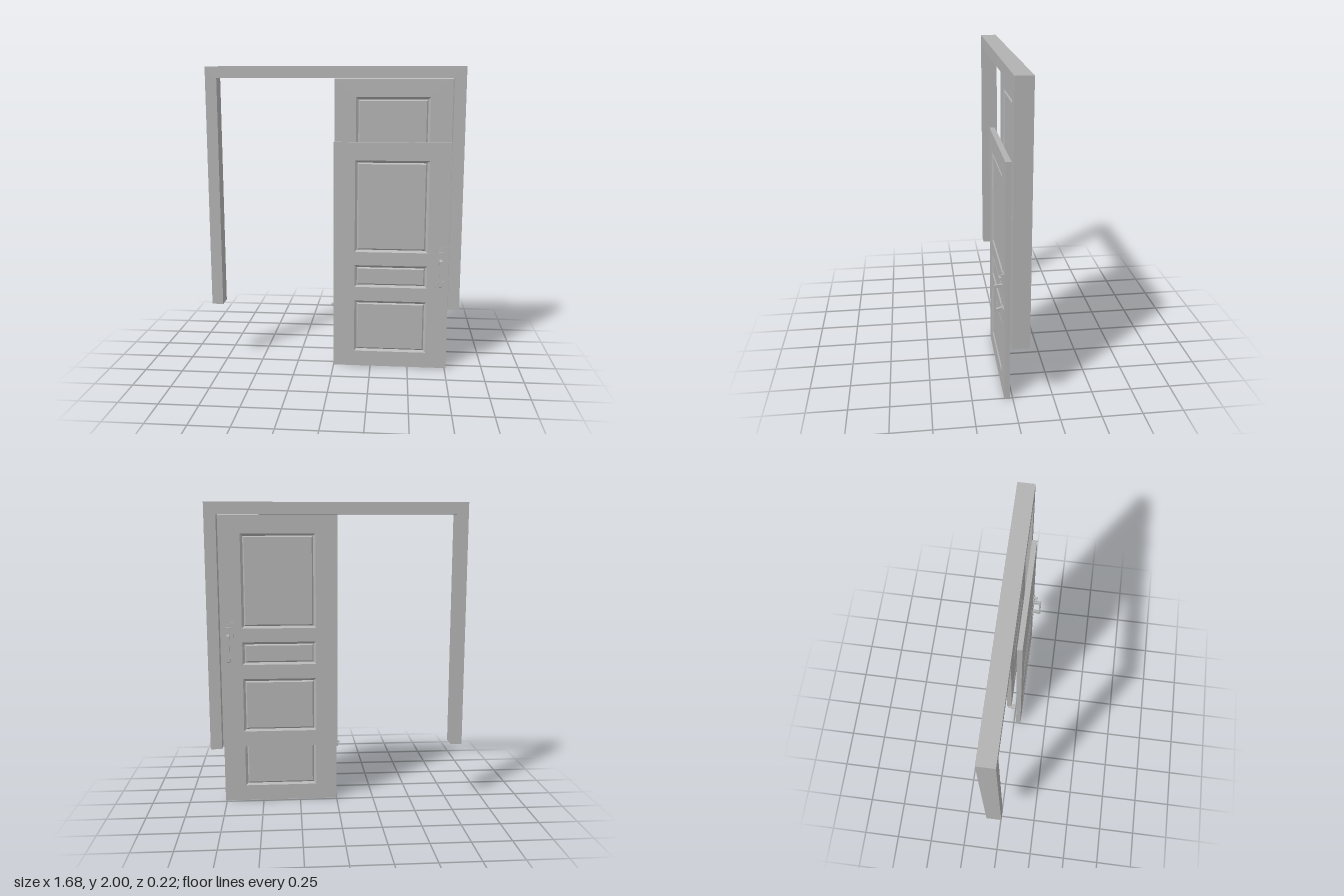
import * as THREE from 'three';

const paint = new THREE.MeshStandardMaterial({ color: 0xb2b2b2 });
paint.name = 'grey paint';

const DOOR_W = 0.76, DOOR_H = 1.52, HALF = 0.017;
// Panel openings in a door: left, bottom, right, top
const PANELS = [[0.14, 0.105, 0.62, 0.46], [0.14, 0.555, 0.62, 0.705], [0.14, 0.795, 0.62, 1.403]];

function mesh(name, geometry, parent, x = 0, y = 0, z = 0) {
  const m = new THREE.Mesh(geometry, paint);
  m.name = name;
  m.position.set(x, y, z);
  parent.add(m);
  return m;
}

function box(name, parent, w, h, d, x, y, z) {
  return mesh(name, new THREE.BoxGeometry(w, h, d), parent, x, y, z);
}

const polygon = (points) => points.map(([x, y]) => new THREE.Vector2(x, y));

// Raised panel with a bevelled groove round it, on both sides of the door
function panelGeometry([l, b, r, t]) {
  const pos = [], index = [];
  for (const side of [1, -1]) {
    const start = pos.length / 3;
    const face = (p, q, s) => index.push(...(side > 0 ? [p, q, s] : [p, s, q]));
    for (const [inset, z] of [[0, HALF], [0.015, HALF - 0.011], [0.024, HALF - 0.004]]) {
      for (const [x, y] of [[l + inset, b + inset], [r - inset, b + inset], [r - inset, t - inset], [l + inset, t - inset]]) {
        pos.push(x, y, z * side);
      }
    }
    for (let k = 0; k < 2; k++) {
      for (let i = 0; i < 4; i++) {
        const a = start + k * 4 + i, c = start + k * 4 + (i + 1) % 4;
        face(a, c, c + 4);
        face(a, c + 4, a + 4);
      }
    }
    face(start + 8, start + 9, start + 10);
    face(start + 8, start + 10, start + 11);
  }
  const g = new THREE.BufferGeometry();
  g.setAttribute('position', new THREE.Float32BufferAttribute(pos, 3));
  g.setIndex(index);
  const flat = g.toNonIndexed();
  flat.computeVertexNormals();
  return flat;
}

// Pull handle, standing out along +z from a door face at z = 0
function makeHandle() {
  const g = new THREE.Group();
  g.name = 'handle';
  box('upperPlate', g, 0.06, 0.125, 0.007, 0, 0.775, 0.0035);
  box('lowerPlate', g, 0.06, 0.06, 0.007, 0, 0.58, 0.0035);

  // Grip outline: distance from the door, height
  const outline = new THREE.Shape(polygon([
    [0.005, 0.715], [0.012, 0.735], [0.046, 0.742], [0.046, 0.602], [0.012, 0.61], [0.005, 0.61],
    [0.005, 0.588], [0.05, 0.578], [0.058, 0.583], [0.058, 0.753], [0.052, 0.759], [0.005, 0.759],
  ]));
  const grip = new THREE.ExtrudeGeometry(outline, { depth: 0.018, bevelEnabled: false });
  grip.translate(0, 0, -0.009);
  grip.rotateY(-Math.PI / 2);
  mesh('grip', grip, g);

  // Lock cylinder and thumb latch
  const lock = new THREE.CylinderGeometry(0.01, 0.01, 0.006, 16);
  lock.rotateX(Math.PI / 2);
  mesh('lock', lock, g, 0, 0.818, 0.01);
  box('latchStem', g, 0.012, 0.008, 0.02, 0, 0.802, 0.012);
  box('thumbLatch', g, 0.034, 0.008, 0.014, 0, 0.804, 0.024);
  return g;
}

function makeDoor(name, side) {
  const door = new THREE.Group();
  door.name = name;
  const outline = new THREE.Shape(polygon([[0, 0], [DOOR_W, 0], [DOOR_W, DOOR_H], [0, DOOR_H]]));
  for (const [l, b, r, t] of PANELS) {
    outline.holes.push(new THREE.Path(polygon([[l, b], [l, t], [r, t], [r, b]])));
  }
  const slab = new THREE.ExtrudeGeometry(outline, { depth: HALF * 2, bevelEnabled: false });
  mesh('doorSlab', slab, door, 0, 0, -HALF);
  PANELS.forEach((p) => mesh('doorPanel', panelGeometry(p), door));

  const handle = makeHandle();
  handle.position.set(0.706, 0, HALF * side);
  if (side < 0) handle.rotation.y = Math.PI;
  door.add(handle);
  return door;
}

export function createModel() {
  const model = new THREE.Group();
  model.name = 'doors';

  // Open-bottomed frame
  const frameShape = new THREE.Shape(polygon([
    [-0.84, 0.4], [-0.765, 0.4], [-0.765, 1.925], [0.765, 1.925],
    [0.765, 0.4], [0.84, 0.4], [0.84, 2], [-0.84, 2],
  ]));
  mesh('frame', new THREE.ExtrudeGeometry(frameShape, { depth: 0.106, bevelEnabled: false }), model, 0, 0, -0.088);

  // One door hung in the frame, one standing in front of it
  const hung = makeDoor('hungDoor', -1);
  hung.position.set(0, 0.402, -0.035);
  const loose = makeDoor('frontDoor', 1);
  loose.position.set(0, 0, 0.035);
  model.add(hung, loose);

  // Small bolt at the lower corner of the hung door
  const bolt = new THREE.Group();
  bolt.name = 'bolt';
  box('boltPlate', bolt, 0.036, 0.01, 0.024, 0, 0.413, -0.006);
  box('boltBar', bolt, 0.014, 0.01, 0.05, 0, 0.405, -0.02);
  box('boltPin', bolt, 0.012, 0.03, 0.01, 0, 0.395, -0.008);
  model.add(bolt);
  return model;
}
